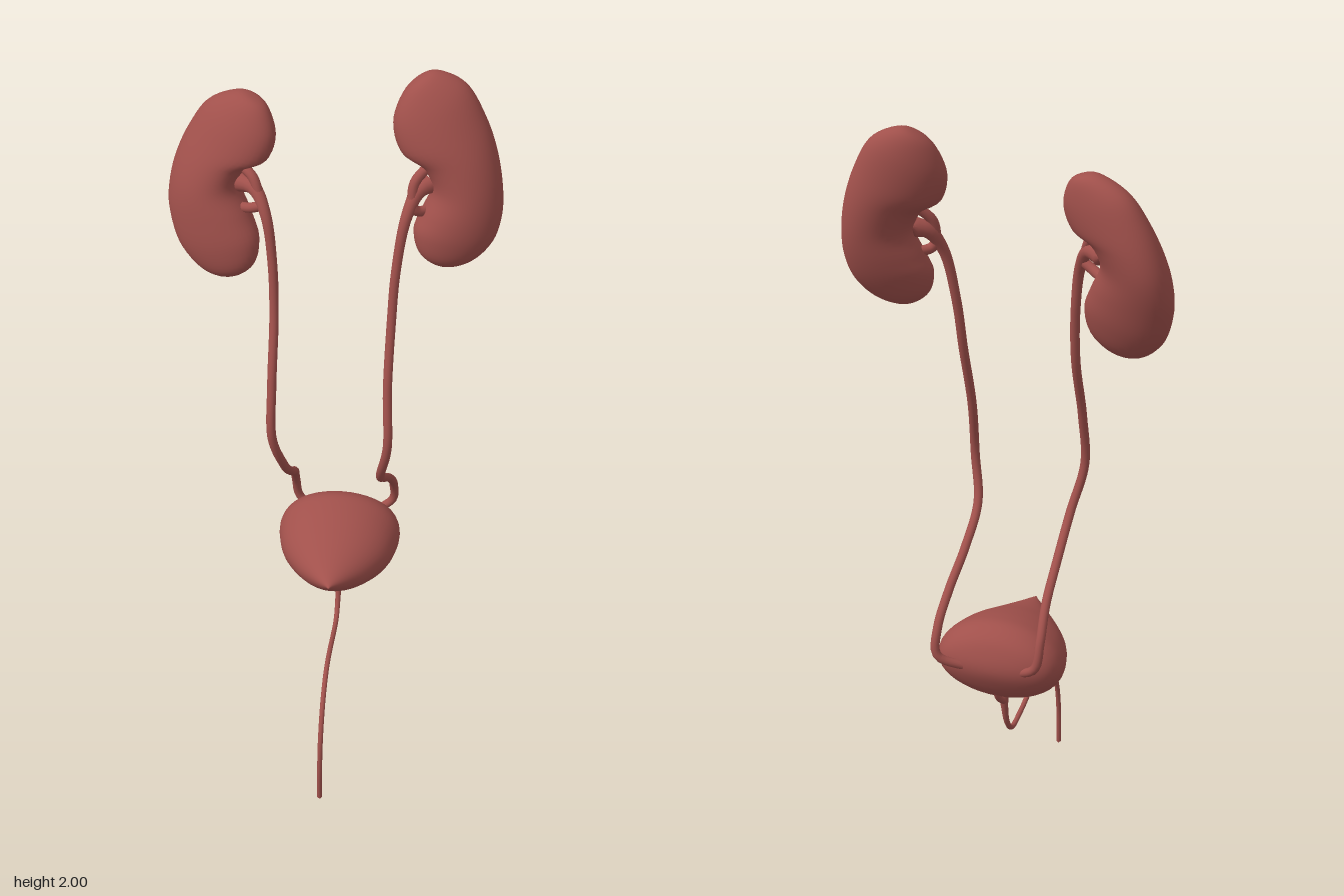
import * as THREE from 'three';
import { mergeVertices } from 'three/addons/utils/BufferGeometryUtils.js';

const V = (x, y, z) => new THREE.Vector3(x, y, z);

// Closed organ body. Stations run from pole to pole: [a.u, a.v, b.u, b.v, half thickness],
// a and b being opposite points of the outline; place() maps (u, v, w) into space.
function organ(startPole, stations, endPole, place, rings = 48, sides = 40) {
  const outline = new THREE.CatmullRomCurve3([
    V(...startPole, 0),
    ...stations.map(s => V(s[0], s[1], s[4])),
    V(...endPole, 0),
    ...stations.slice().reverse().map(s => V(s[2], s[3], -s[4])),
  ], true, 'catmullrom', 0.5);
  const pos = [], index = [];
  for (let i = 0; i <= rings; i++) {
    const t = i / rings / 2;
    const a = outline.getPoint(t), b = outline.getPoint((1 - t) % 1);
    for (let j = 0; j < sides; j++) {
      const q = j / sides * Math.PI * 2, c = Math.cos(q);
      const p = place(
        (a.x + b.x) / 2 + (a.x - b.x) / 2 * c,
        (a.y + b.y) / 2 + (a.y - b.y) / 2 * c,
        a.z * Math.sin(q));
      pos.push(p.x, p.y, p.z);
      if (i < rings) {
        const k = (j + 1) % sides, m = i * sides, n = m + sides;
        index.push(m + j, n + j, m + k, m + k, n + j, n + k);
      }
    }
  }
  // Turn the faces outward if the signed volume is negative
  const at = i => V(pos[3 * i], pos[3 * i + 1], pos[3 * i + 2]);
  let volume = 0;
  for (let i = 0; i < index.length; i += 3)
    volume += at(index[i]).dot(at(index[i + 1]).cross(at(index[i + 2])));
  if (volume < 0) index.reverse();
  const g = new THREE.BufferGeometry();
  g.setAttribute('position', new THREE.Float32BufferAttribute(pos, 3));
  g.setIndex(index);
  const merged = mergeVertices(g, 1e-5);
  merged.computeVertexNormals();
  return merged;
}

// Round tube along points, with radius(t) along its length and closed ends
function duct(points, radius, segments = 100, sides = 14) {
  const path = new THREE.CatmullRomCurve3(points.map(p => V(...p)));
  const g = new THREE.TubeGeometry(path, segments, 1, sides, false);
  const pos = g.attributes.position, p = V(0, 0, 0);
  for (let i = 0; i <= segments; i++) {
    const t = i / segments, c = path.getPointAt(t);
    const r = i === 0 || i === segments ? 0.0001 : radius(t);
    for (let j = 0; j <= sides; j++) {
      const k = i * (sides + 1) + j;
      p.fromBufferAttribute(pos, k).sub(c).multiplyScalar(r).add(c);
      pos.setXYZ(k, p.x, p.y, p.z);
    }
  }
  return g;
}

export function createModel() {
  const model = new THREE.Group();
  model.name = 'urinaryTract';
  const tissue = new THREE.MeshStandardMaterial({ color: 0xa0504b });
  tissue.name = 'red tissue';
  const add = (name, geometry) => {
    const mesh = new THREE.Mesh(geometry, tissue);
    mesh.name = name;
    model.add(mesh);
  };

  // Kidneys: bean outlines (inner, outer), leaning back at the top
  add('leftKidney', organ([0.205, 1.988], [
    [0.165, 1.95, 0.25, 2.0, 0.036],
    [0.143, 1.88, 0.32, 1.968, 0.063],
    [0.165, 1.81, 0.37, 1.89, 0.079],
    [0.22, 1.775, 0.402, 1.81, 0.083],
    [0.245, 1.72, 0.421, 1.725, 0.083],
    [0.222, 1.66, 0.424, 1.65, 0.08],
    [0.205, 1.61, 0.405, 1.585, 0.068],
    [0.225, 1.55, 0.355, 1.535, 0.042],
  ], [0.285, 1.517], (x, y, w) =>
    V(x, y, -0.185 - 0.23 * (y - 1.76) - 0.08 * (x - 0.28) + w)));

  add('rightKidney', organ([-0.2, 1.918], [
    [-0.165, 1.895, -0.25, 1.923, 0.036],
    [-0.145, 1.835, -0.325, 1.885, 0.063],
    [-0.165, 1.775, -0.375, 1.815, 0.08],
    [-0.215, 1.75, -0.41, 1.738, 0.086],
    [-0.24, 1.695, -0.427, 1.67, 0.088],
    [-0.21, 1.63, -0.429, 1.6, 0.084],
    [-0.185, 1.565, -0.402, 1.515, 0.072],
    [-0.2, 1.495, -0.34, 1.458, 0.045],
  ], [-0.265, 1.45], (x, y, w) =>
    V(x, y, -0.19 - 0.23 * (y - 1.69) + 0.33 * (x + 0.29) + w)));

  // Ureters: funnel at the kidney, thin down to the back of the bladder
  const ureterRadius = t => 0.012 + 0.016 * Math.exp(-t * 22);
  add('leftUreter', duct([
    [0.25, 1.735, -0.17], [0.215, 1.72, -0.145], [0.188, 1.66, -0.11], [0.168, 1.52, -0.08],
    [0.162, 1.39, -0.055], [0.16, 1.21, 0.0], [0.166, 1.05, 0.035], [0.147, 0.93, 0.0],
    [0.148, 0.84, -0.1], [0.158, 0.76, -0.2], [0.165, 0.68, -0.27], [0.16, 0.61, -0.288],
    [0.08, 0.57, -0.255],
  ], ureterRadius));
  add('rightUreter', duct([
    [-0.245, 1.705, -0.17], [-0.195, 1.705, -0.135], [-0.163, 1.65, -0.1], [-0.146, 1.53, -0.08],
    [-0.14, 1.39, -0.055], [-0.14, 1.21, 0.01], [-0.138, 1.06, 0.04], [-0.113, 0.94, 0.0],
    [-0.108, 0.84, -0.1], [-0.11, 0.76, -0.2], [-0.115, 0.68, -0.262], [-0.105, 0.61, -0.275],
    [-0.04, 0.57, -0.25],
  ], ureterRadius));

  // Short branches from each funnel into the kidney notch
  const branches = {
    leftUpperBranch: [[0.2, 1.69, -0.125], [0.205, 1.745, -0.14], [0.24, 1.785, -0.165]],
    leftLowerBranch: [[0.198, 1.69, -0.122], [0.215, 1.67, -0.13], [0.25, 1.665, -0.16]],
    rightUpperBranch: [[-0.178, 1.68, -0.118], [-0.2, 1.735, -0.14], [-0.24, 1.755, -0.17]],
    rightLowerBranch: [[-0.175, 1.67, -0.112], [-0.205, 1.655, -0.125], [-0.245, 1.64, -0.155]],
  };
  for (const [name, points] of Object.entries(branches))
    add(name, duct(points, () => 0.013, 16, 12));

  // Bladder: pear shape with its point to the front (upper and lower outline in z, y)
  add('bladder', organ([0.111, 0.606], [
    [0.1, 0.611, 0.1, 0.595, 0.01],
    [0.06, 0.621, 0.068, 0.56, 0.045],
    [-0.01, 0.641, 0.015, 0.514, 0.098],
    [-0.08, 0.664, -0.06, 0.471, 0.145],
    [-0.15, 0.681, -0.125, 0.45, 0.167],
    [-0.205, 0.684, -0.185, 0.455, 0.171],
    [-0.25, 0.658, -0.237, 0.49, 0.148],
    [-0.274, 0.615, -0.267, 0.535, 0.09],
  ], [-0.28, 0.575], (u, v, w) => V(0.02 + w, v, u)));

  // Urethra: leaves the bladder floor, then arches forward and down
  add('urethra', duct([
    [0.02, 0.475, -0.165], [0.02, 0.42, -0.16], [0.02, 0.345, -0.138], [0.02, 0.307, -0.1],
    [0.02, 0.315, -0.02], [0.02, 0.338, 0.07], [0.02, 0.344, 0.165], [0.02, 0.305, 0.245],
    [0.02, 0.22, 0.303], [0.02, 0.12, 0.325], [0.02, 0, 0.327],
  ], t => 0.007 + 0.014 * Math.exp(-t * 20)));
  add('bladderNeck', duct([
    [0.02, 0.495, -0.225], [0.02, 0.46, -0.205], [0.02, 0.425, -0.162],
  ], () => 0.009, 16, 12));

  return model;
}
